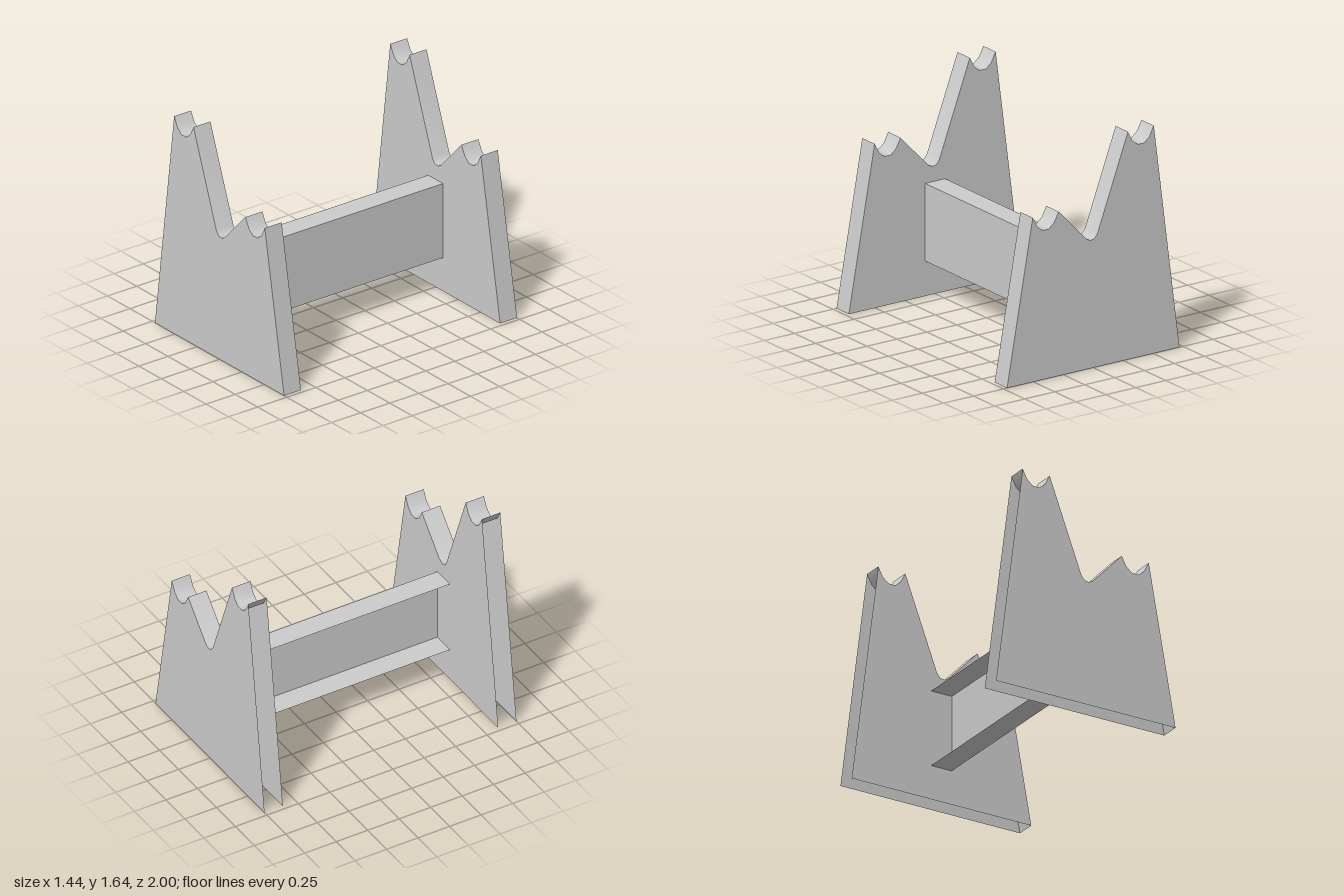
import * as THREE from 'three';
import { toCreasedNormals } from 'three/addons/utils/BufferGeometryUtils.js';

const material = new THREE.MeshStandardMaterial({ color: 0xcccccc, side: THREE.DoubleSide });

// Open wall swept along z from an [x, y] path; the last point is not joined to the first
function wall(path, z0, z1) {
  const position = [];
  for (let i = 0; i + 1 < path.length; i++) {
    const [ax, ay] = path[i], [bx, by] = path[i + 1];
    position.push(ax, ay, z0, bx, by, z0, bx, by, z1);
    position.push(ax, ay, z0, bx, by, z1, ax, ay, z1);
  }
  const geometry = new THREE.BufferGeometry();
  geometry.setAttribute('position', new THREE.Float32BufferAttribute(position, 3));
  return toCreasedNormals(geometry, 0.8);
}

// Flat face of the outline, facing +z or -z
function face(path, z, facing) {
  const shape = new THREE.Shape(path.map(([x, y]) => new THREE.Vector2(x * facing, y)));
  const geometry = new THREE.ShapeGeometry(shape);
  if (facing < 0) geometry.rotateY(Math.PI);
  return geometry.translate(0, 0, z);
}

function add(group, name, geometry) {
  const mesh = new THREE.Mesh(geometry, material);
  mesh.name = name;
  group.add(mesh);
}

// Rounded notch between two tips, listed from +x to -x
const cradle = (x, y) => [
  [0.108, 0], [0.07, -0.073], [0.026, -0.108],
  [-0.026, -0.108], [-0.07, -0.073], [-0.108, 0],
].map(([dx, dy]) => [x + dx, y + dy]);

export function createModel() {
  const model = new THREE.Group();
  model.name = 'twoTierRack';

  // End plates: low cradle, rounded valley, high cradle; open at the base and -x edge
  const top = [
    [0.72, 0],
    ...cradle(0.397, 1.185),
    [0.06, 0.943], [0.025, 0.923], [-0.01, 0.929], [-0.035, 0.96],
    ...cradle(-0.398, 1.643),
  ];
  const outline = [...top, [-0.72, 0]];
  for (const [name, z0, z1] of [['frontPlate', 0.855, 1], ['backPlate', -1, -0.855]]) {
    const plate = new THREE.Group();
    plate.name = name;
    add(plate, 'outerEdge', wall(top, z0, z1));
    add(plate, 'frontFace', face(outline, z1, 1));
    add(plate, 'backFace', face(outline, z0, -1));
    model.add(plate);
  }

  // Crossbeam between the plates, open on its -x side
  const beam = [[-0.083, 0.253], [0.083, 0.253], [0.083, 0.813], [-0.083, 0.813]];
  add(model, 'crossbeam', wall(beam, -0.855, 0.855));

  return model;
}
